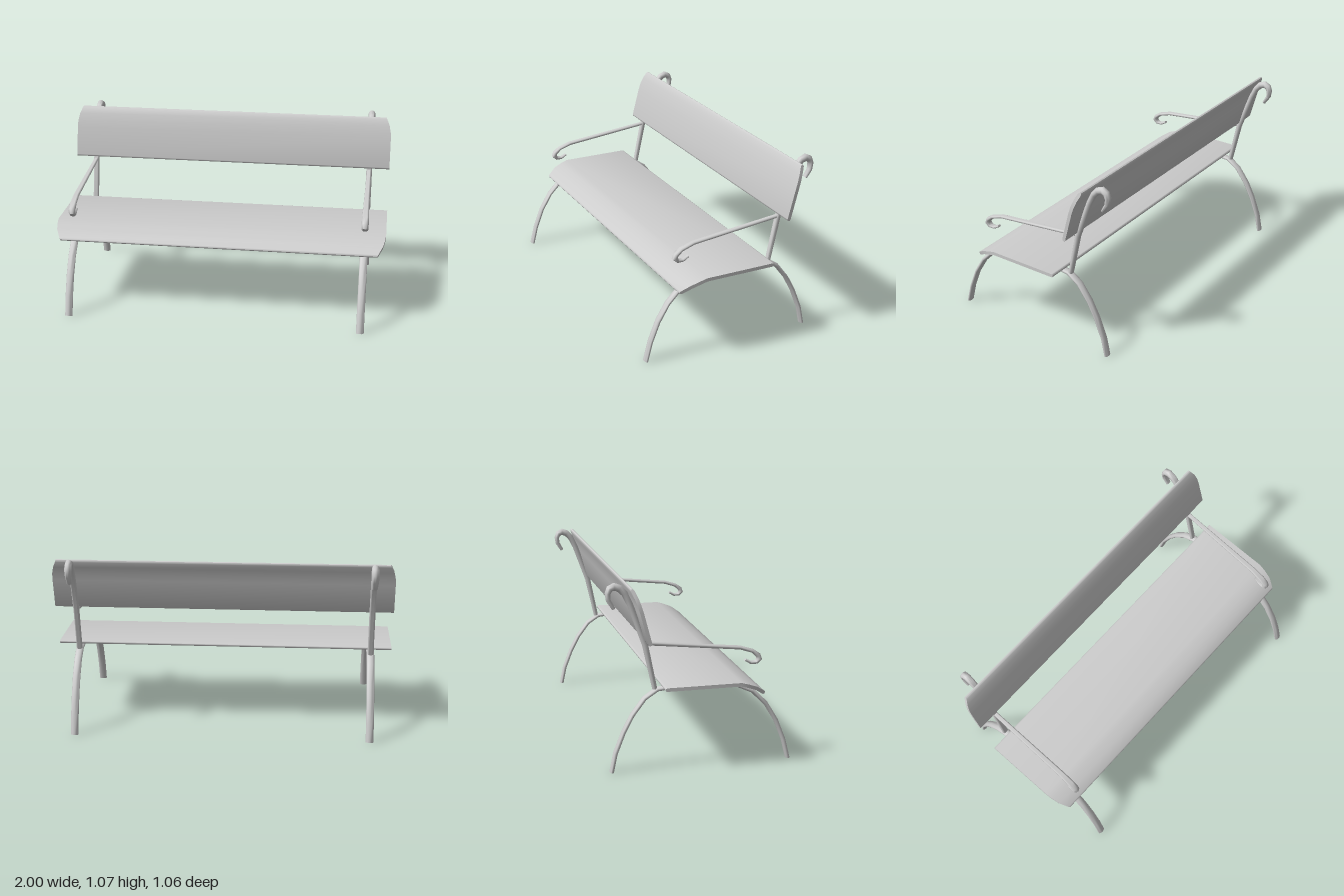
import * as THREE from 'three';
import { toCreasedNormals } from 'three/addons/utils/BufferGeometryUtils.js';

const material = new THREE.MeshStandardMaterial({ color: 0xcccccc });

// Unit cross-sections (u runs along x, v across the path)
const round = Array.from({ length: 12 }, (_, k) => {
  const a = (k / 12) * Math.PI * 2;
  return [Math.cos(a), Math.sin(a)];
});
const flat = [[-1, -1], [1, -1], [1, 1], [-1, 1]];

// Sweep a section along mitred stations [z, y, half thickness, half width in x]
function sweep(name, stations, section, crease) {
  const n = section.length, last = stations.length - 1;
  const pos = [], index = [];
  const dir = (i) => new THREE.Vector2(
    stations[i + 1][0] - stations[i][0], stations[i + 1][1] - stations[i][1]).normalize();
  stations.forEach(([z, y, t, w], i) => {
    const before = dir(Math.max(i - 1, 0)), after = dir(Math.min(i, last - 1));
    const d = before.clone().add(after).normalize();
    const m = t / d.dot(after);
    for (const [u, v] of section) {
      pos.push(w * u, Math.max(0, y + m * v * d.x), z - m * v * d.y);
    }
  });
  for (let i = 0; i < last; i++) {
    for (let k = 0; k < n; k++) {
      const a = i * n + k, b = i * n + (k + 1) % n;
      index.push(a, b, b + n, a, b + n, a + n);
    }
  }
  for (let k = 1; k < n - 1; k++) {
    index.push(0, k + 1, k, last * n, last * n + k, last * n + k + 1);
  }
  const geometry = new THREE.BufferGeometry();
  geometry.setAttribute('position', new THREE.Float32BufferAttribute(pos, 3));
  geometry.setIndex(index);
  const mesh = new THREE.Mesh(toCreasedNormals(geometry, crease), material);
  mesh.name = name;
  return mesh;
}

// Arched front leg, seat rail and back leg in one bent bar
const legPath = [
  [0.518, 0], [0.489, 0.114], [0.442, 0.232], [0.381, 0.333], [0.302, 0.413],
  [0.196, 0.461], [0.081, 0.471], [-0.154, 0.471], [-0.245, 0.461], [-0.316, 0.414],
  [-0.385, 0.323], [-0.435, 0.228], [-0.482, 0.107], [-0.504, 0],
].map(([z, y]) => [z, y, 0.0125, 0.023]);

// Back post ending in a rearward hook
const postPath = [
  [-0.259, 0.465, 0.014, 0.018], [-0.313, 0.72, 0.017, 0.018], [-0.394, 0.945, 0.017, 0.018],
  [-0.424, 1.007, 0.018, 0.019], [-0.452, 1.036, 0.02, 0.02], [-0.481, 1.047, 0.02, 0.021],
  [-0.505, 1.036, 0.018, 0.022], [-0.516, 1.01, 0.015, 0.022], [-0.512, 0.973, 0.013, 0.02],
  [-0.484, 0.927, 0.01, 0.016],
];

// Armrest with a curl at the front
const armPath = [
  [-0.316, 0.725, 0.011, 0.013], [0.225, 0.667, 0.011, 0.018], [0.299, 0.643, 0.011, 0.02],
  [0.331, 0.617, 0.014, 0.021], [0.338, 0.597, 0.014, 0.021], [0.321, 0.578, 0.01, 0.019],
  [0.29, 0.577, 0.009, 0.016], [0.256, 0.595, 0.007, 0.013],
];

// Boards: rounded long edges, corners cut back on one side
const seatPath = [
  [-0.226, 0.49, 0.004, 1], [-0.223, 0.49, 0.008, 1], [-0.217, 0.49, 0.01, 1],
  [0.2, 0.49, 0.01, 1], [0.245, 0.476, 0.01, 0.995], [0.292, 0.458, 0.01, 0.985],
  [0.339, 0.425, 0.01, 0.96], [0.345, 0.421, 0.008, 0.956], [0.348, 0.419, 0.004, 0.954],
];
const backPath = [
  [-0.307, 0.741, 0.004, 1], [-0.308, 0.744, 0.008, 1], [-0.31, 0.75, 0.01, 1],
  [-0.355, 0.92, 0.01, 1], [-0.367, 0.96, 0.01, 0.998], [-0.383, 1.003, 0.01, 0.988],
  [-0.399, 1.038, 0.01, 0.972], [-0.402, 1.044, 0.008, 0.97], [-0.404, 1.048, 0.004, 0.968],
];

export function createModel() {
  const bench = new THREE.Group();
  bench.name = 'bench';
  bench.add(sweep('seat', seatPath, flat, 0.7), sweep('backrest', backPath, flat, 0.7));
  for (const [side, x] of [['left', 0.875], ['right', -0.875]]) {
    const frame = new THREE.Group();
    frame.name = side + 'Frame';
    frame.position.x = x;
    frame.add(
      sweep(side + 'Legs', legPath, round, 1.1),
      sweep(side + 'BackPost', postPath, round, 1.1),
      sweep(side + 'Armrest', armPath, round, 1.1),
    );
    bench.add(frame);
  }
  return bench;
}
